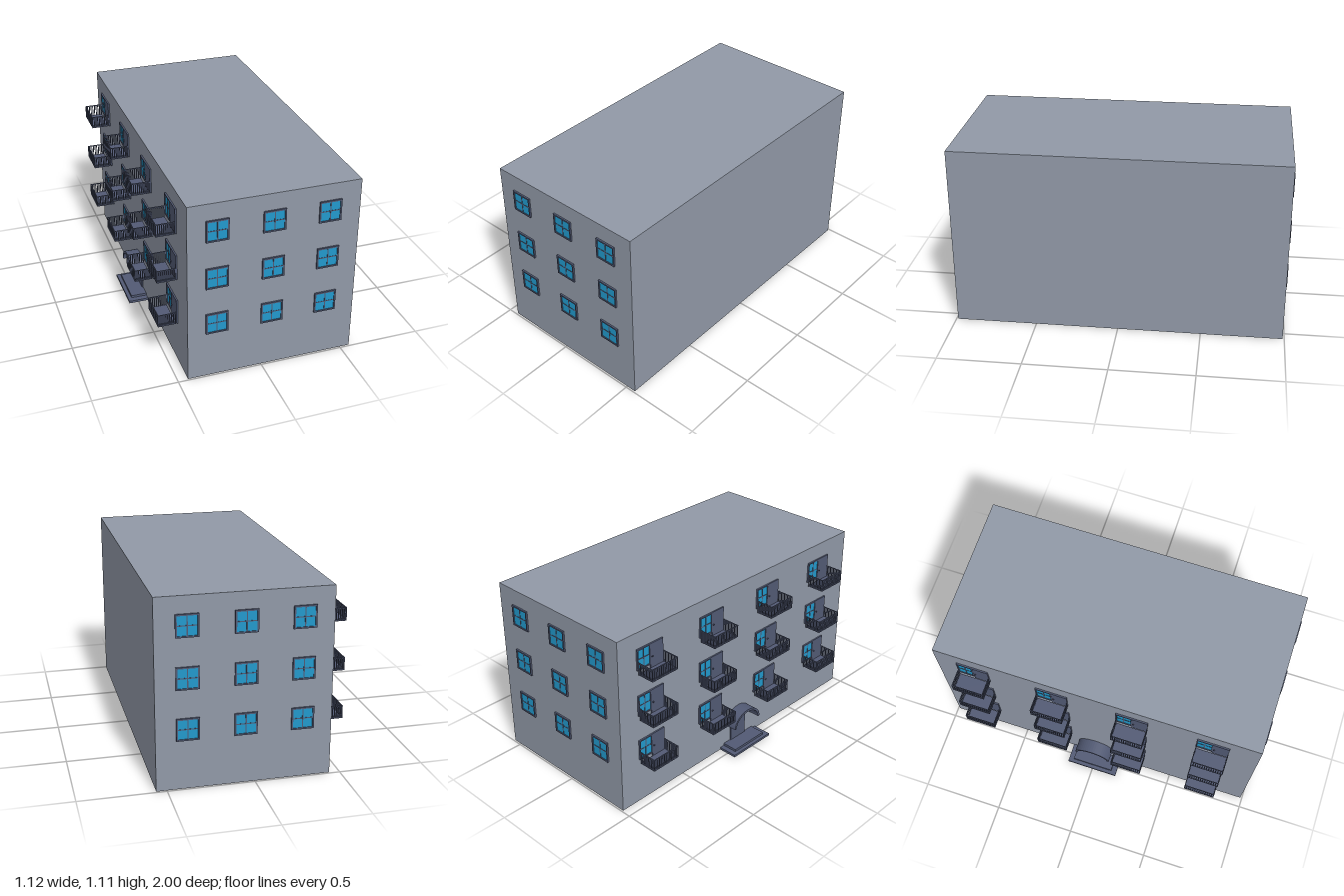
import * as THREE from 'three';

const wallMat = new THREE.MeshStandardMaterial({ color: 0x9199a7 });
wallMat.name = 'wallGrey';
const trimMat = new THREE.MeshStandardMaterial({ color: 0x525a74 });
trimMat.name = 'slateTrim';
const glassMat = new THREE.MeshStandardMaterial({ color: 0x2299cc });
glassMat.name = 'blueGlass';

// Adds a box given by its min and max corners
function box(parent, name, mat, x0, x1, y0, y1, z0, z1) {
  const mesh = new THREE.Mesh(new THREE.BoxGeometry(x1 - x0, y1 - y0, z1 - z0), mat);
  mesh.position.set((x0 + x1) / 2, (y0 + y1) / 2, (z0 + z1) / 2);
  mesh.name = name;
  parent.add(mesh);
  return mesh;
}

// Framed window centred on its origin, facing +z
function makeWindow(w, h, frame) {
  const g = new THREE.Group();
  g.name = 'window';
  const x = w / 2, y = h / 2, bar = 0.003;
  box(g, 'windowPane', glassMat, -x + frame, x - frame, -y + frame, y - frame, 0, 0.005);
  for (const s of [-1, 1]) {
    const a = s * x, b = s * (x - frame);
    box(g, 'frameSide', trimMat, Math.min(a, b), Math.max(a, b), -y, y, 0, 0.01);
    const c = s * y, d = s * (y - frame);
    box(g, 'frameRail', trimMat, -x + frame, x - frame, Math.min(c, d), Math.max(c, d), 0, 0.01);
  }
  box(g, 'mullion', trimMat, -bar, bar, -y + frame, y - frame, 0.004, 0.007);
  box(g, 'transom', trimMat, -x + frame, x - frame, -bar, bar, 0.004, 0.0065);
  return g;
}

// Balcony with railing, door and window; origin on the wall at floor height, facing +z
function makeBalcony() {
  const g = new THREE.Group();
  g.name = 'balcony';
  const w = 0.097, near = 0.012, far = 0.12, top = 0.077, t = 0.005;
  box(g, 'balconySlab', trimMat, -w, w, 0, 0.006, near, far);

  // Hand rails
  box(g, 'frontHandRail', trimMat, -w, w, top - t, top, far - t, far);
  for (const s of [-1, 1]) {
    const x = s * (w - t / 2);
    box(g, 'sideHandRail', trimMat, x - t / 2, x + t / 2, top - t, top, near, far - t);
    // Side balusters
    for (let i = 0; i < 9; i++) {
      const z = near + (far - t - near) * i / 9;
      box(g, 'sideBaluster', trimMat, x - t / 2, x + t / 2, 0.006, top - t, z, z + t);
    }
  }
  // Front balusters
  const n = 14;
  for (let i = 0; i <= n; i++) {
    const x = -w + (2 * w - t) * i / n;
    box(g, 'frontBaluster', trimMat, x, x + t, 0.006, top - t, far - t, far);
  }

  // Balcony door and its window
  box(g, 'balconyDoor', trimMat, 0, 0.095, 0, 0.155, 0, 0.009);
  box(g, 'doorHandle', trimMat, 0.006, 0.014, 0.07, 0.076, 0.009, 0.015);
  const win = makeWindow(0.1, 0.13, 0.008);
  win.position.set(-0.05, 0.09, 0);
  g.add(win);
  return g;
}

// Steps, door and arched canopy; origin on the wall at ground level, facing +z
function makeEntrance() {
  const g = new THREE.Group();
  g.name = 'entrance';
  box(g, 'lowerStep', trimMat, -0.167, 0.16, 0, 0.015, 0, 0.12);
  box(g, 'upperStep', trimMat, -0.135, 0.125, 0.015, 0.03, 0, 0.097);
  box(g, 'entranceDoor', trimMat, -0.078, 0.052, 0.03, 0.21, 0, 0.007);
  box(g, 'entranceHandle', trimMat, -0.068, -0.058, 0.117, 0.123, 0.007, 0.015);

  const arch = new THREE.Shape();
  arch.absellipse(0, 0, 0.114, 0.095, 0, Math.PI, false);
  arch.absellipse(0, 0, 0.1, 0.08, Math.PI, 0, true);
  const canopy = new THREE.Mesh(
    new THREE.ExtrudeGeometry(arch, { depth: 0.082, bevelEnabled: false, curveSegments: 12 }), trimMat);
  canopy.position.set(-0.011, 0.164, 0);
  canopy.name = 'archedCanopy';
  g.add(canopy);
  return g;
}

export function createModel() {
  const model = new THREE.Group();
  model.name = 'apartmentBlock';
  const wallX = -0.44, endZ = 0.99;
  box(model, 'buildingBody', wallMat, wallX, 0.56, 0, 1.11, -endZ, endZ);

  for (const y of [0.355, 0.65, 0.945]) {
    // Windows on both end walls
    for (const x of [-0.27, 0.055, 0.38]) {
      for (const s of [1, -1]) {
        const win = makeWindow(0.13, 0.13, 0.009);
        win.position.set(x, y, s * endZ);
        if (s < 0) win.rotation.y = Math.PI;
        model.add(win);
      }
    }
    // Balconies along the entrance wall
    for (const z of [-0.755, -0.265, 0.228, 0.718]) {
      const balcony = makeBalcony();
      balcony.position.set(wallX, y - 0.09, z);
      balcony.rotation.y = -Math.PI / 2;
      model.add(balcony);
    }
  }

  const entrance = makeEntrance();
  entrance.position.x = wallX;
  entrance.rotation.y = -Math.PI / 2;
  model.add(entrance);
  return model;
}
